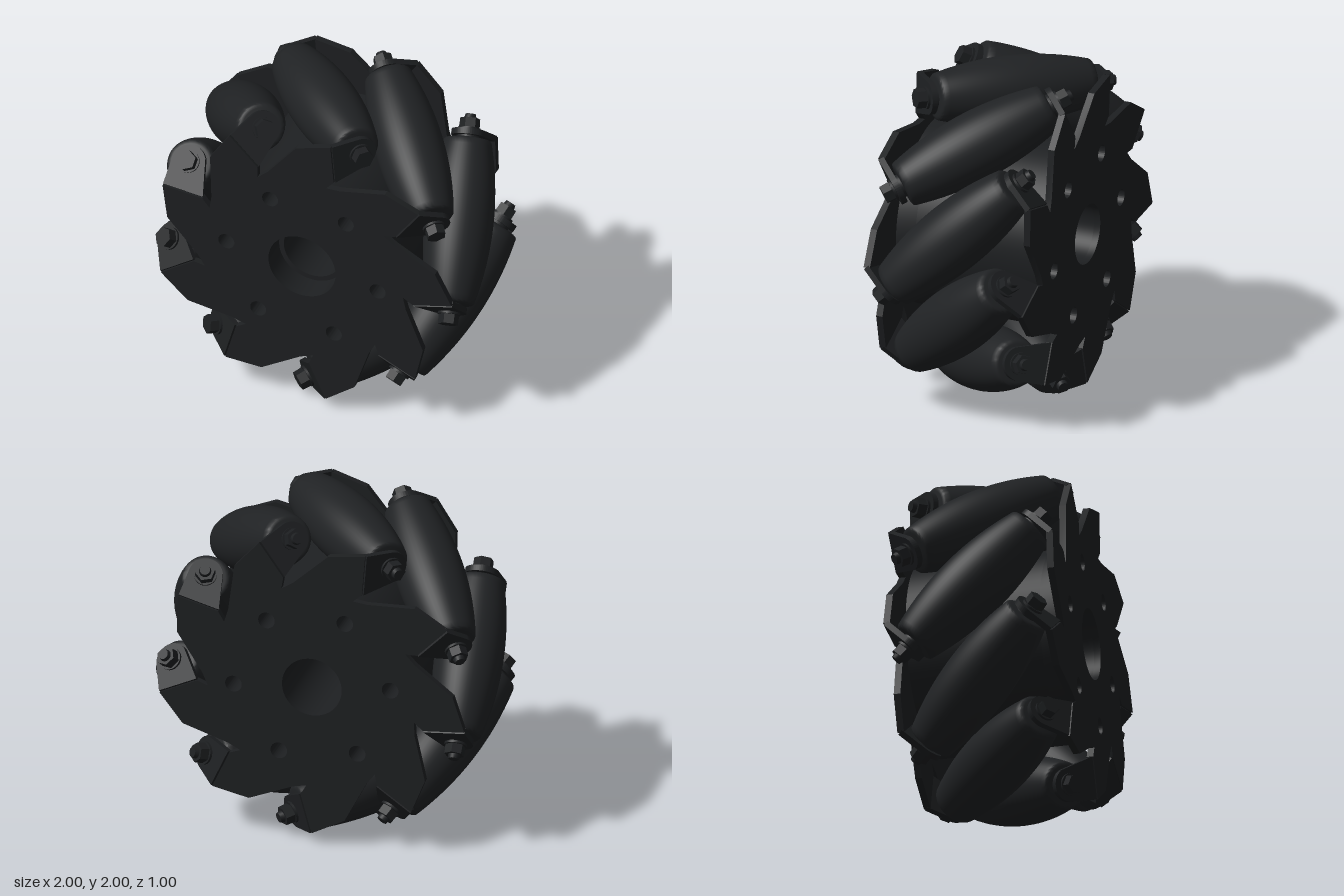
import * as THREE from 'three';
import { toCreasedNormals } from 'three/addons/utils/BufferGeometryUtils.js';

const COUNT = 9;
const STEP = (Math.PI * 2) / COUNT;
const AXIS_R = 0.8;      // distance from wheel centre to each roller axis
const TILT = Math.PI / 4;
const TAB_S = 0.5;       // where the bent tab starts along the roller axis
const TAB_T = 0.035;
const PLATE_T = 0.04;

const metal = new THREE.MeshStandardMaterial({ color: 0x1d1f21 });
const rubber = new THREE.MeshStandardMaterial({ color: 0x202224 });

function add(parent, name, geometry, material = metal) {
  const mesh = new THREE.Mesh(geometry, material);
  mesh.name = name;
  parent.add(mesh);
  return mesh;
}

function circle(x, y, r) {
  return new THREE.Path().absarc(x, y, r, 0, Math.PI * 2, true);
}

function boltHoles(shape, phase) {
  for (let i = 0; i < 6; i++) {
    const a = phase + (i * Math.PI) / 3;
    shape.holes.push(circle(0.475 * Math.cos(a), 0.475 * Math.sin(a), 0.05));
  }
}

function extrude(shape, depth, z) {
  const g = new THREE.ExtrudeGeometry(shape, { depth, bevelEnabled: false, curveSegments: 32 });
  g.translate(0, 0, z);
  return toCreasedNormals(g, 0.5);
}

// Cylinder along z from z0 to z1
function rod(r, z0, z1, sides, rTop = r) {
  const g = new THREE.CylinderGeometry(rTop, r, z1 - z0, sides);
  g.rotateX(Math.PI / 2);
  g.translate(0, 0, (z0 + z1) / 2);
  return toCreasedNormals(g, 0.6);
}

// Barrel profile whose outermost line lies on the rolling circle of radius 1
function rollerGeometry() {
  const pts = [];
  const n = 28;
  for (let i = 0; i <= n; i++) {
    const s = 0.435 * ((2 * i) / n - 1);
    const t = s * Math.SQRT1_2;
    const rho = Math.hypot(AXIS_R, t);
    const lean = (t / rho) * Math.SQRT1_2;
    pts.push(new THREE.Vector2((1 - rho) * Math.sqrt(1 - lean * lean), s + (1 - rho) * lean));
  }
  const end = pts[n];
  // small rounded lip and flat end caps
  const cap = [[end.x - 0.008, end.y + 0.008], [end.x - 0.025, end.y + 0.012], [0, end.y + 0.012]];
  cap.forEach(([r, y]) => {
    pts.push(new THREE.Vector2(r, y));
    pts.unshift(new THREE.Vector2(r, -y));
  });
  const g = new THREE.LatheGeometry(pts, 48);
  g.rotateX(Math.PI / 2);
  return toCreasedNormals(g, 0.6);
}

// Side plate with nine hooked arms (x of each arm points outward)
function plateShape(boreRadius, holePhase) {
  const arm = [[0.6, -0.2], [0.65, -0.25], [0.9, -0.25], [0.85, -0.03], [0.64, 0.165]];
  const pts = [];
  for (let i = 0; i < COUNT; i++) {
    for (const [u, t] of arm) pts.push(new THREE.Vector2(u, t).rotateAround(new THREE.Vector2(), i * STEP));
  }
  const shape = new THREE.Shape(pts);
  shape.holes.push(circle(0, 0, boreRadius));
  boltHoles(shape, holePhase);
  return shape;
}

// Tab bent from the plate, rounded around the roller bolt
function tabShape() {
  const shape = new THREE.Shape();
  shape.moveTo(0.65, 0.167);
  shape.lineTo(AXIS_R - 0.088, -0.05);
  shape.absarc(AXIS_R, 0, 0.1, -Math.PI * 5 / 6, 0, false);
  shape.lineTo(0.9, 0.167);
  shape.closePath();
  return shape;
}

// One side of the wheel: plate, bent tabs and fasteners
function side(name, boreRadius, holePhase, withStud) {
  const group = new THREE.Group();
  group.name = name;
  add(group, 'sidePlate', extrude(plateShape(boreRadius, holePhase), PLATE_T, 0.5 - PLATE_T));
  const tab = extrude(tabShape(), TAB_T, TAB_S);
  const top = TAB_S + TAB_T;
  const washer = rod(0.066, top, top + 0.014, 24);
  const head = rod(0.06, top + 0.014, top + 0.07, 6, 0.058);
  const stud = rod(0.036, top + 0.07, top + 0.095, 16, 0.03);
  const spacer = rod(0.07, 0.47, TAB_S, 24);
  for (let i = 0; i < COUNT; i++) {
    const spin = new THREE.Group();
    spin.name = 'arm';
    spin.rotation.z = i * STEP;
    const tilted = new THREE.Group();
    tilted.name = 'rollerMount';
    tilted.rotation.x = TILT;
    spin.add(tilted);
    add(tilted, 'bentTab', tab);
    const parts = { washer, boltHead: head, spacer };
    if (withStud) parts.boltEnd = stud;
    for (const key in parts) add(tilted, key, parts[key]).position.x = AXIS_R;
    group.add(spin);
  }
  return group;
}

export function createModel() {
  const model = new THREE.Group();
  model.name = 'omnidirectionalWheel';
  const wheel = new THREE.Group();
  wheel.name = 'wheel';
  wheel.position.y = 1;
  const turn = THREE.MathUtils.degToRad(14.6);
  wheel.rotation.z = turn;
  model.add(wheel);

  // Hub core with a wider recess at the front
  const phase = THREE.MathUtils.degToRad(-5.2) - turn;
  const core = (bore, z0, z1) => {
    const shape = new THREE.Shape().absarc(0, 0, 0.565, 0, Math.PI * 2, false);
    shape.holes.push(circle(0, 0, bore));
    boltHoles(shape, phase);
    return extrude(shape, z1 - z0, z0);
  };
  add(wheel, 'hubCore', core(0.18, -0.46, 0.34));
  add(wheel, 'hubRecess', core(0.21, 0.34, 0.46));

  // Front side, and the back side as its half turn
  wheel.add(side('frontSide', 0.21, phase, false));
  const back = side('backSide', 0.18, -phase, true);
  back.rotation.x = Math.PI;
  wheel.add(back);

  // Tilted rollers
  const geometry = rollerGeometry();
  for (let i = 0; i < COUNT; i++) {
    const spin = new THREE.Group();
    spin.name = 'rollerPosition';
    spin.rotation.z = i * STEP;
    const roller = add(spin, 'roller', geometry, rubber);
    roller.position.x = AXIS_R;
    roller.rotation.x = TILT;
    wheel.add(spin);
  }
  return model;
}
